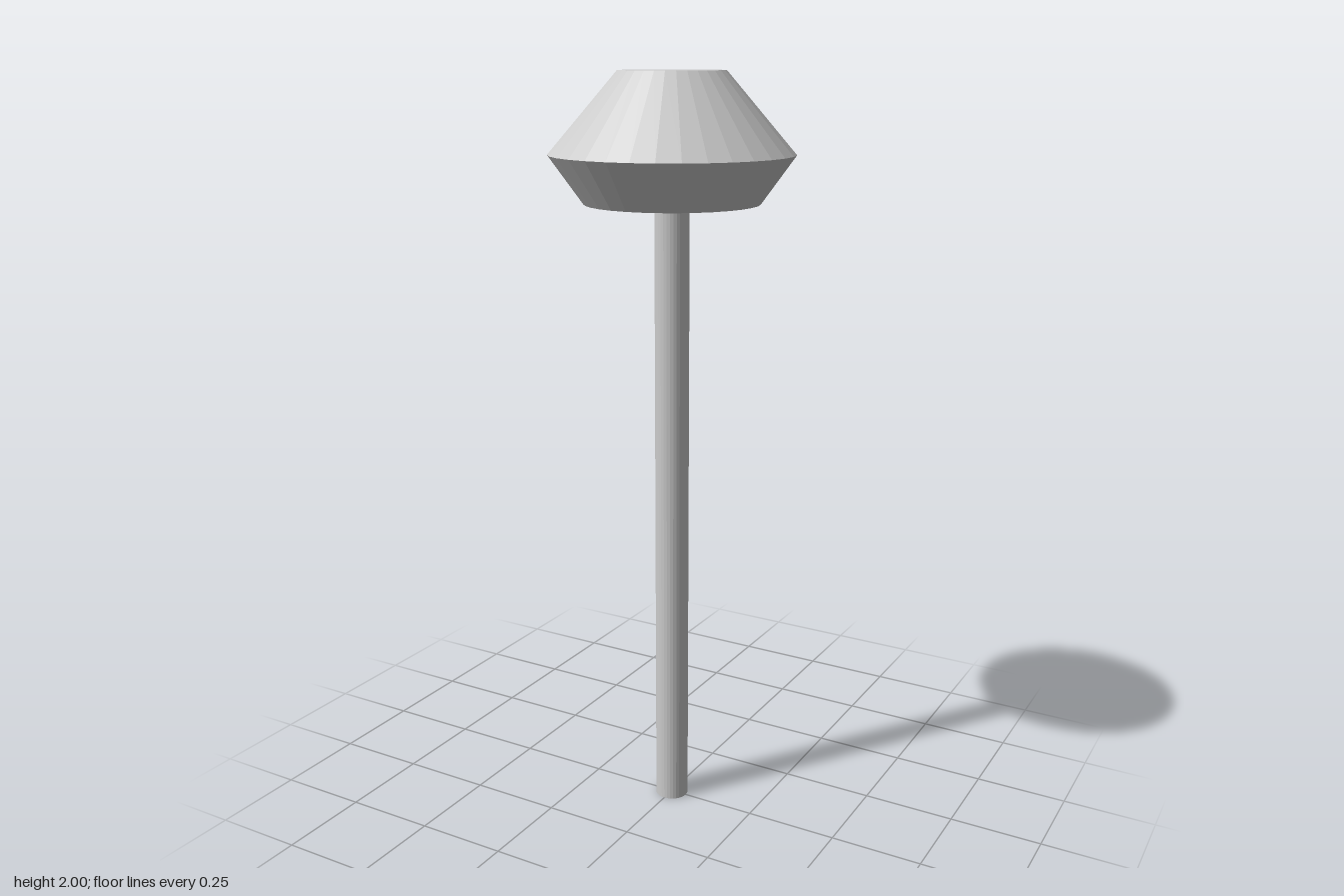
import * as THREE from 'three';

const SIDES = 32;

export function createModel() {
  const model = new THREE.Group();
  const material = new THREE.MeshStandardMaterial({ color: 0xcccccc, flatShading: true });

  // Revolves a closed profile of [radius, height] points, listed bottom to top.
  const addTurned = (name, profile) => {
    const points = profile.map(([r, y]) => new THREE.Vector2(r, y));
    const mesh = new THREE.Mesh(new THREE.LatheGeometry(points, SIDES), material);
    mesh.name = name;
    model.add(mesh);
  };

  // Slender upright pole
  addTurned('pole', [[0, 0], [0.045, 0], [0.045, 1.675], [0, 1.675]]);

  // Faceted head: flares out to a sharp rim, then tapers to a flat top
  addTurned('head', [[0, 1.675], [0.225, 1.675], [0.313, 1.797], [0.136, 2], [0, 2]]);

  return model;
}
